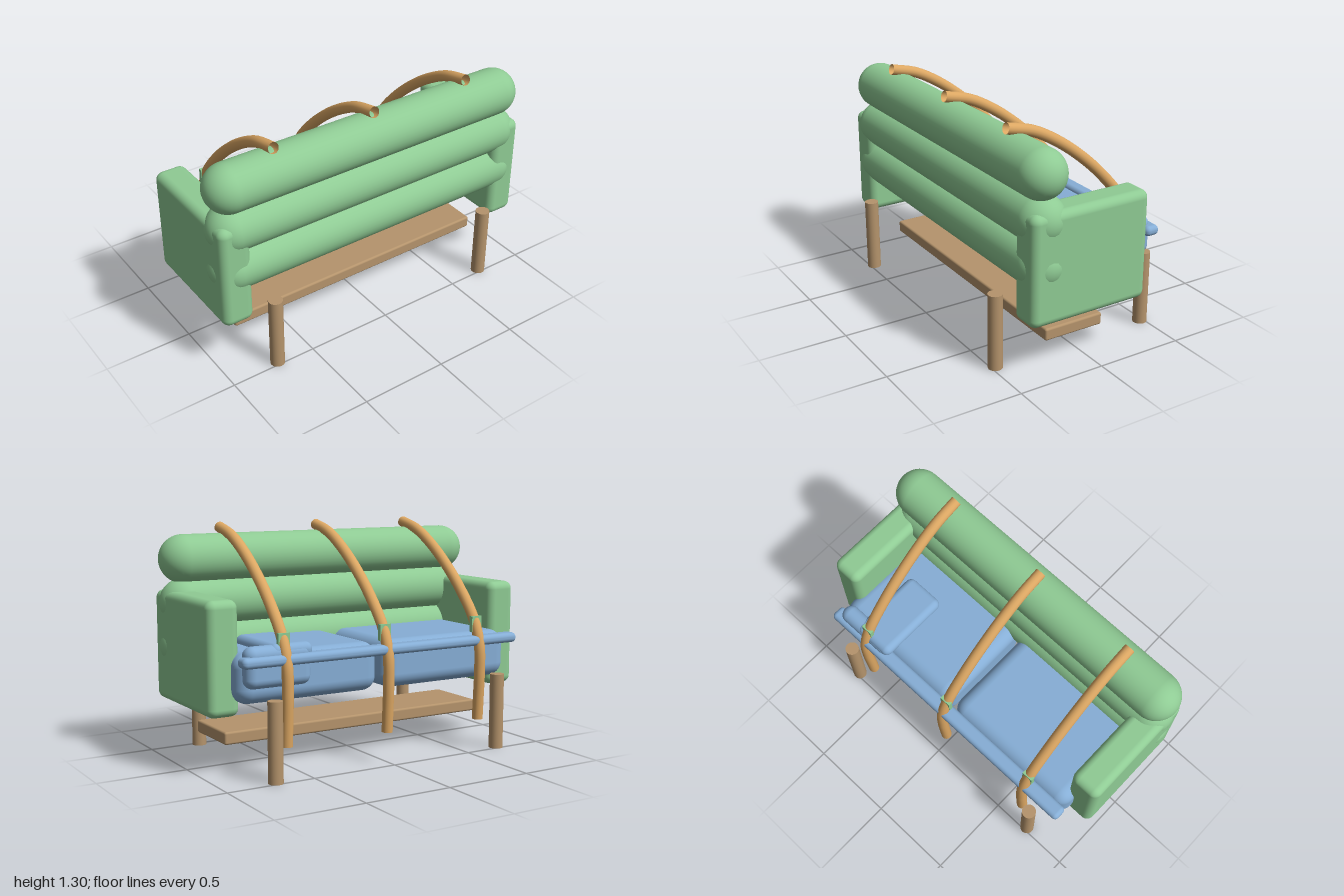
import * as THREE from 'three';
import { RoundedBoxGeometry } from 'three/addons/geometries/RoundedBoxGeometry.js';

const mat = (color, side = THREE.FrontSide) => new THREE.MeshStandardMaterial({ color, side });
const GREEN = mat(0x8fcb94), BLUE = mat(0x86aed6), WOOD = mat(0xb5946c), CANE = mat(0xdca763, THREE.DoubleSide);

export function createModel() {
  const model = new THREE.Group();

  const add = (name, geometry, material, x = 0, y = 0, z = 0, parent = model) => {
    const mesh = new THREE.Mesh(geometry, material);
    mesh.name = name;
    mesh.position.set(x, y, z);
    parent.add(mesh);
    return mesh;
  };

  // Soft block given by its extents [min, max] on each axis
  const block = (name, material, [x0, x1], [y0, y1], [z0, z1], radius) =>
    add(name, new RoundedBoxGeometry(x1 - x0, y1 - y0, z1 - z0, 5, radius), material,
      (x0 + x1) / 2, (y0 + y1) / 2, (z0 + z1) / 2);

  // Stacked backrest bolsters with domed ends
  for (const y of [0.62, 0.86, 1.1]) {
    const bolster = new THREE.Group();
    bolster.name = 'backBolster';
    bolster.position.set(0, y, 0.31);
    add('bolsterRoll', new THREE.CylinderGeometry(0.135, 0.135, 1.73, 40, 1, true).rotateZ(Math.PI / 2),
      GREEN, 0, 0, 0, bolster);
    for (const s of [-1, 1])
      add('bolsterEnd', new THREE.SphereGeometry(0.135, 32, 20), GREEN, s * 0.865, 0, 0, bolster);
    model.add(bolster);
  }

  for (const s of [-1, 1]) {
    // Armrests
    add('armrest', new RoundedBoxGeometry(0.18, 0.61, 0.71, 5, 0.045), GREEN, s * 0.9, 0.625, 0.075);
    // Seat cushions
    add('seatCushion', new RoundedBoxGeometry(0.85, 0.27, 0.63, 6, 0.08), BLUE, s * 0.44, 0.525, -0.06);
    // Legs
    for (const z of [-0.477, 0.477])
      add('leg', new THREE.CylinderGeometry(0.04, 0.04, 0.43, 24), WOOD, s * 0.715, 0.215, z);
  }

  // Low shelf
  block('lowerShelf', WOOD, [-0.83, 0.83], [0.135, 0.205], [-0.12, 0.24], 0.012);

  // Throw lying on the seat and hanging over its open edge
  block('throwTop', BLUE, [0.45, 0.7], [0.62, 0.705], [-0.42, 0.03], 0.04);
  block('throwDrape', BLUE, [0.46, 0.84], [0.48, 0.7], [-0.425, -0.32], 0.05);

  // Crossbar
  block('crossbar', BLUE, [-0.88, 0.875], [0.595, 0.652], [-0.452, -0.365], 0.026);

  // Bent canes arching over the seat, each with a small tie
  const bend = [[1.265, 0.355], [1.225, 0.2], [1.145, 0.05], [1.035, -0.1], [0.9, -0.245],
    [0.74, -0.375], [0.6, -0.43], [0.45, -0.437], [0.3, -0.43], [0.17, -0.423]];
  for (const x of [-0.62, 0, 0.62]) {
    const curve = new THREE.CatmullRomCurve3(bend.map(([y, z]) => new THREE.Vector3(0, y, z)));
    add('bentCane', new THREE.TubeGeometry(curve, 60, 0.031, 16), CANE, x);
    add('caneTie', new THREE.BoxGeometry(0.066, 0.09, 0.024), GREEN, x, 0.715, -0.392);
  }

  return model;
}
